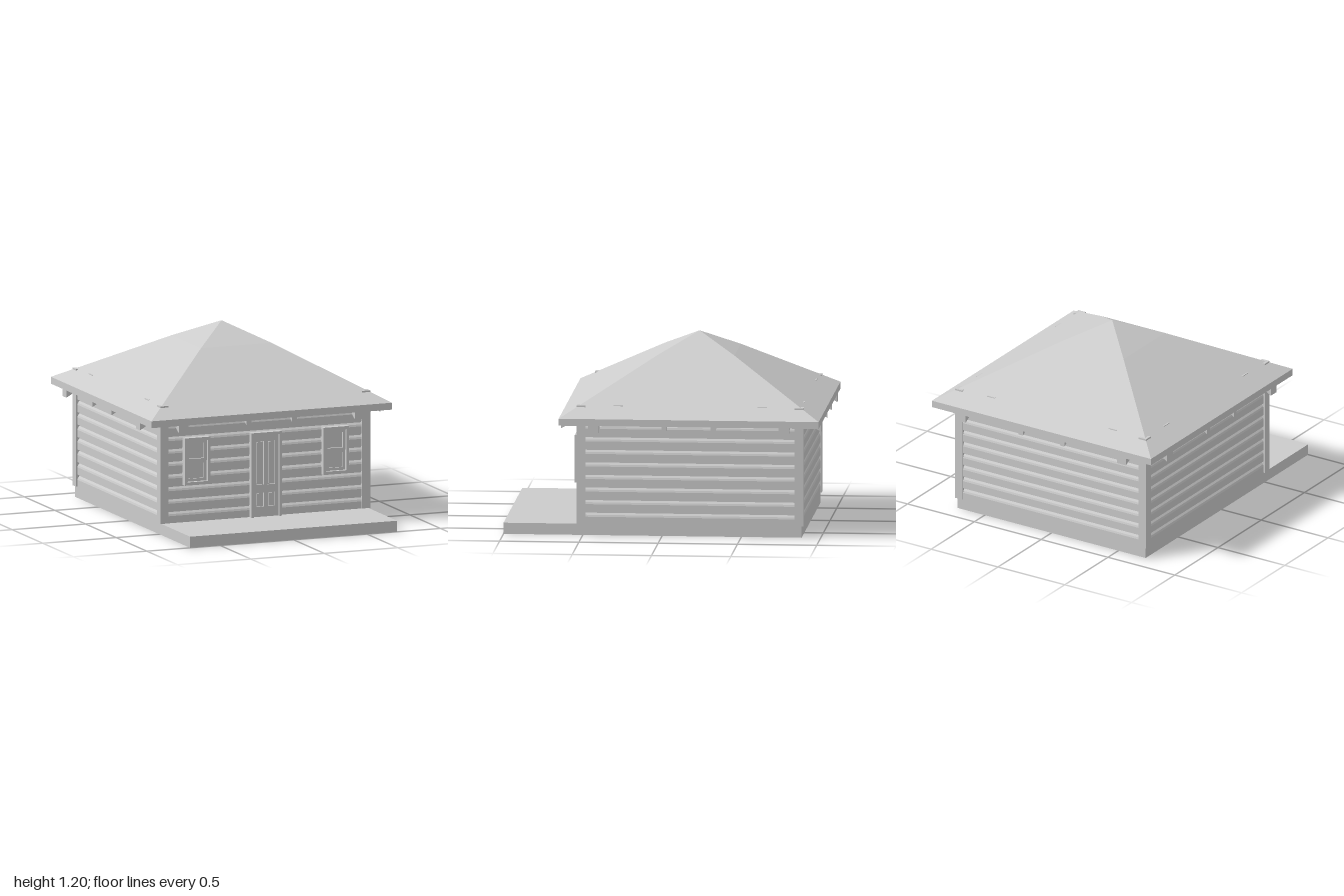
import * as THREE from 'three';

const material = new THREE.MeshStandardMaterial({ color: 0xcccccc, flatShading: true });

function mesh(name, geometry, parent) {
  const m = new THREE.Mesh(geometry, material);
  m.name = name;
  parent.add(m);
  return m;
}

// box given by its minimum and maximum corners
function box(name, parent, x0, x1, y0, y1, z0, z1) {
  const m = mesh(name, new THREE.BoxGeometry(x1 - x0, y1 - y0, z1 - z0), parent);
  m.position.set((x0 + x1) / 2, (y0 + y1) / 2, (z0 + z1) / 2);
  return m;
}

const polygon = (pts) => new THREE.Shape(pts.map(([x, y]) => new THREE.Vector2(x, y)));

const rect = (x0, x1, y0, y1) => polygon([[x0, y0], [x1, y0], [x1, y1], [x0, y1]]);

// flat board with rectangular openings, from z0 to z1
function board(name, parent, outline, holes, z0, z1) {
  const shape = rect(...outline);
  holes.forEach((h) => shape.holes.push(rect(...h)));
  const g = new THREE.ExtrudeGeometry(shape, { depth: z1 - z0, bevelEnabled: false });
  mesh(name, g.translate(0, 0, z0), parent);
}

// profile drawn as (outward distance, height), swept sideways over a width about a centre
function sweep(name, parent, pts, width, centre = 0) {
  const g = new THREE.ExtrudeGeometry(polygon(pts), { depth: width, bevelEnabled: false });
  g.translate(0, 0, centre - width / 2);
  return mesh(name, g, parent);
}

// drop siding: flat boards with a cove below each joint
function sidingProfile() {
  const pts = [[0.64, 0.07]];
  for (let i = 0; i < 8; i++) {
    const y = 0.07 + i * 0.08;
    pts.push([0.706, y], [0.706, y + 0.046], [0.702, y + 0.058], [0.692, y + 0.07], [0.692, y + 0.08]);
  }
  pts.push([0.692, 0.8], [0.64, 0.8]);
  return pts;
}

function addWindow(parent, x) {
  const win = new THREE.Group();
  win.name = 'window';
  win.position.x = x;
  parent.add(win);
  board('windowFrame', win, [-0.087, 0.087, 0.31, 0.612], [[-0.07, 0.07, 0.33, 0.592]], 0.68, 0.74);
  board('upperSash', win, [-0.07, 0.07, 0.46, 0.592], [[-0.052, 0.052, 0.475, 0.574]], 0.69, 0.724);
  board('lowerSash', win, [-0.07, 0.07, 0.33, 0.46], [[-0.052, 0.052, 0.348, 0.445]], 0.69, 0.718);
  box('windowPane', win, -0.07, 0.07, 0.33, 0.592, 0.69, 0.709);
}

function addDoor(parent) {
  const door = new THREE.Group();
  door.name = 'door';
  parent.add(door);
  // casing: two jambs and a head
  for (const s of [-1, 1]) box('doorJamb', door, s * 0.095 - 0.008, s * 0.095 + 0.008, 0.07, 0.612, 0.68, 0.74);
  box('doorHead', door, -0.087, 0.087, 0.596, 0.612, 0.68, 0.74);
  // leaf with four recessed panels
  const panels = [];
  for (const [a, b] of [[-0.064, -0.012], [0.012, 0.064]]) {
    panels.push([a, b, 0.275, 0.555], [a, b, 0.135, 0.225]);
  }
  board('doorLeaf', door, [-0.087, 0.087, 0.07, 0.596], panels, 0.69, 0.722);
  box('doorBacking', door, -0.087, 0.087, 0.07, 0.596, 0.69, 0.709);
  for (const [a, b, c, d] of panels) {
    box('doorPanel', door, a + 0.007, b - 0.007, c + 0.007, d - 0.007, 0.7, 0.718);
  }
}

export function createModel() {
  const model = new THREE.Group();
  model.name = 'cabin';

  // foundation with front porch
  box('foundation', model, -0.705, 0.705, 0, 0.071, -0.88, 1);

  const house = new THREE.Group();
  house.name = 'house';
  house.position.z = -0.177;
  model.add(house);

  // four walls, each with siding and rafter tails
  const siding = sidingProfile();
  for (let k = 0; k < 4; k++) {
    const side = new THREE.Group();
    side.name = 'wall';
    side.rotation.y = k * Math.PI / 2;
    house.add(side);
    sweep('siding', side, siding, 1.37);

    for (const s of [-1, 1]) {
      for (const [at, width, depth] of [[0.155, 0.033, 0.03], [0.6, 0.066, 0.046]]) {
        const low = 0.711 - depth;
        sweep('rafterTail', side, [[0.62, low + 0.112], [0.82, low], [0.82, 0.72], [0.62, 0.832]], width, s * at);
      }
      // wall studs whose tops just break through the roof (not on the front)
      if (k !== 3) box('stud', side, 0.66, 0.702, 0.7, 0.826, s * 0.455 - 0.03, s * 0.455 + 0.03);
    }

    box('cornerPost', side, 0.66, 0.715, 0.072, 0.824, 0.66, 0.715);
    // trim boards that finish the corner on both faces
    for (const s of [-1, 1]) {
      box('cornerTrim', side, 0.68, 0.714, 0.072, 0.8, s * 0.696 - 0.015, s * 0.696 + 0.015);
    }
  }

  addDoor(house);
  for (const s of [-1, 1]) addWindow(house, s * 0.472);

  // pyramid roof shell with a slight break in its slope
  const roofProfile = [[0, 1.155], [0.24, 1.035], [0.82, 0.711], [0.82, 0.755], [0.24, 1.08], [0, 1.2]]
    .map(([r, y]) => new THREE.Vector2(r * Math.SQRT2, y));
  const roof = new THREE.LatheGeometry(roofProfile, 4, Math.PI / 4).toNonIndexed();
  roof.computeVertexNormals();
  mesh('roof', roof, house);

  return model;
}
